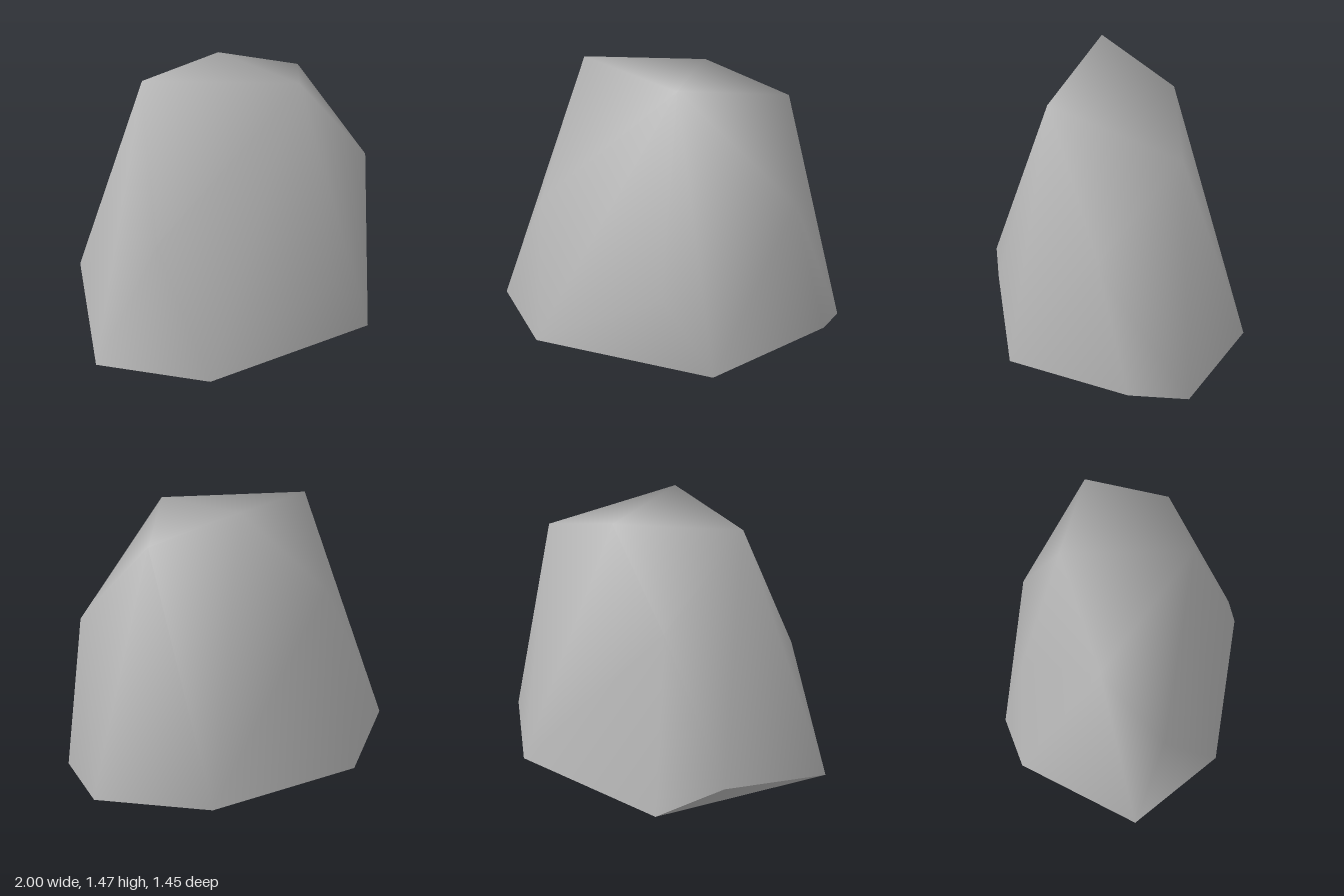
import * as THREE from 'three';
import { ConvexGeometry } from 'three/addons/geometries/ConvexGeometry.js';
import { mergeVertices } from 'three/addons/utils/BufferGeometryUtils.js';

// Corners of the chiselled boulder, from the ground up
const corners = [
  // ground ring
  [-1, 0, 0.07], [-0.34, 0, -0.73], [0.6, 0, -0.63],
  [1, 0, -0.14], [0.43, 0, 0.72], [-0.61, 0, 0.58],
  // low corners lifted off the ground
  [-0.68, 0.22, -0.6], [0.95, 0.08, 0.19],
  // bulges on the walls
  [0.15, 0.39, 0.7], [-0.68, 0.7, 0.23], [0.77, 0.845, 0.3], [-0.28, 1, -0.53],
  // crown
  [-0.51, 1.465, -0.11], [0.15, 1.44, -0.31], [0.65, 1.3, -0.18], [0.15, 1.44, 0.38],
].map((p) => new THREE.Vector3(...p));

// Collect the hull triangles whose facing passes a test
function facesWhere(hull, test) {
  const pos = hull.getAttribute('position');
  const tri = new THREE.Triangle();
  const normal = new THREE.Vector3();
  const points = [];
  for (let i = 0; i < pos.count; i += 3) {
    tri.setFromAttributeAndIndices(pos, i, i + 1, i + 2);
    tri.getNormal(normal);
    if (test(normal.y)) points.push(tri.a.clone(), tri.b.clone(), tri.c.clone());
  }
  return new THREE.BufferGeometry().setFromPoints(points);
}

export function createModel() {
  const group = new THREE.Group();
  group.name = 'boulder';
  const stone = new THREE.MeshStandardMaterial({ color: 0xb4b4b4, side: THREE.DoubleSide });
  stone.name = 'stone grey';

  const hull = new ConvexGeometry(corners);

  // Walls and crown share smooth normals
  const shell = mergeVertices(facesWhere(hull, (y) => y > -0.3), 1e-4);
  shell.computeVertexNormals();
  const walls = new THREE.Mesh(shell, stone);
  walls.name = 'wallsAndCrown';

  // Sharp undercuts below the lifted corners; the flat base stays open
  const under = facesWhere(hull, (y) => y <= -0.3 && y > -0.99);
  under.computeVertexNormals();
  const undercuts = new THREE.Mesh(under, stone);
  undercuts.name = 'undercuts';

  group.add(walls, undercuts);
  return group;
}
